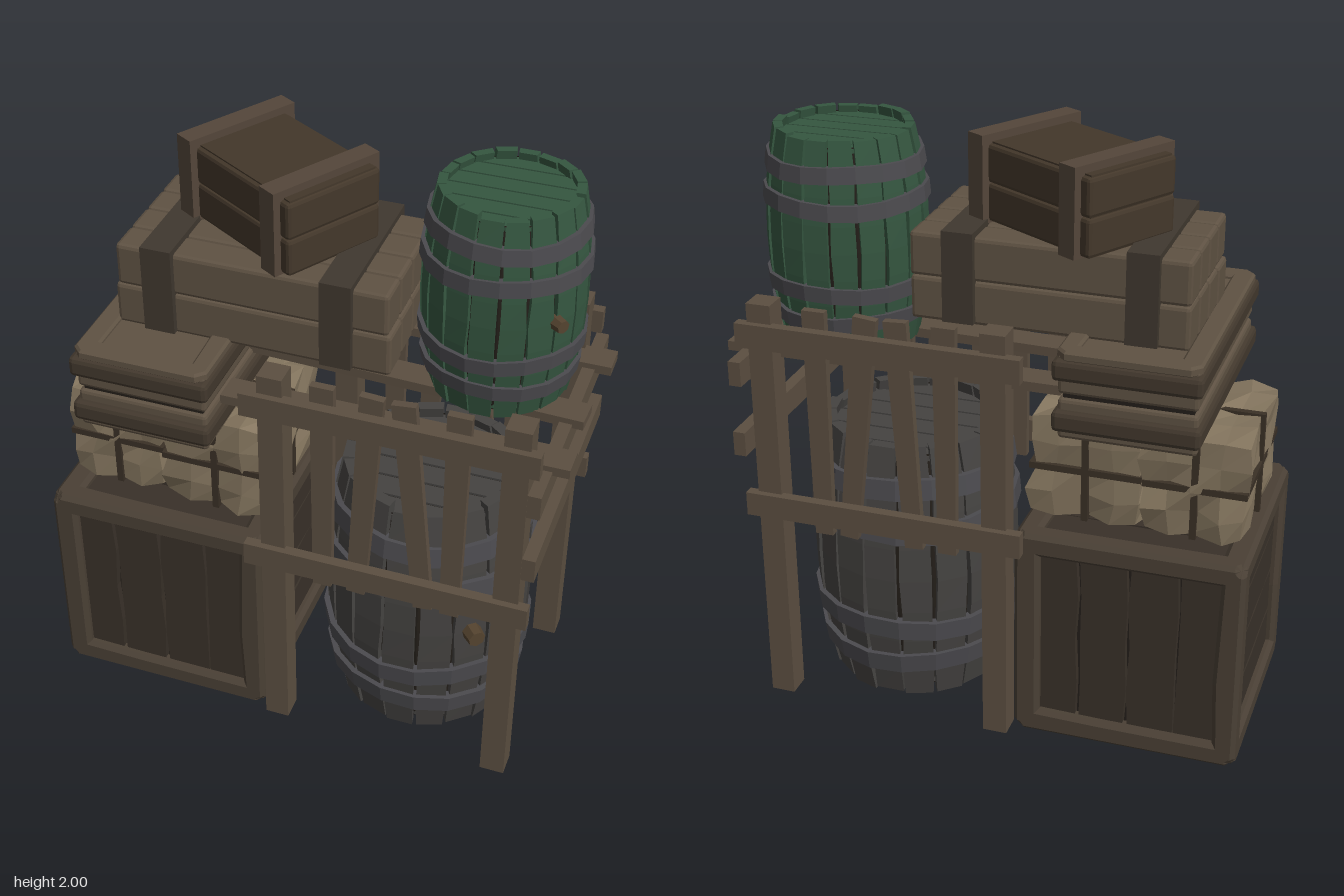
import * as THREE from 'three';
import { RoundedBoxGeometry } from 'three/addons/geometries/RoundedBoxGeometry.js';

const mat = (color) => new THREE.MeshStandardMaterial({ color, flatShading: true, side: THREE.DoubleSide });
const M = {
  frame: mat(0x5c4f41), dark: mat(0x231e19), crate: mat(0x393129), crateFrame: mat(0x4a4035),
  sack: mat(0x85765f), tie: mat(0x3a3026), box: mat(0x5f5243), strap: mat(0x40382f), rim: mat(0x42382d),
  small: mat(0x43372a), smallStrap: mat(0x54463a), grey: mat(0x454341), iron: mat(0x4b4a4e),
  green: mat(0x355640), bung: mat(0x54432f),
};

// Repeatable noise in -1..1 from a position
const noise = (a, b = 0, c = 0) => {
  const s = Math.sin(a * 127.1 + b * 311.7 + c * 74.7 + 1.3) * 43758.5453;
  return (s - Math.floor(s)) * 2 - 1;
};

function add(parent, name, geometry, material, x = 0, y = 0, z = 0) {
  const mesh = new THREE.Mesh(geometry, material);
  mesh.name = name;
  mesh.position.set(x, y, z);
  parent.add(mesh);
  return mesh;
}

function group(parent, name, x = 0, y = 0, z = 0) {
  const g = new THREE.Group();
  g.name = name;
  g.position.set(x, y, z);
  parent.add(g);
  return g;
}

// Box given by its minimum and maximum corners, with an optional chamfer
function board(parent, name, material, [x0, y0, z0], [x1, y1, z1], chamfer = 0) {
  const s = [x1 - x0, y1 - y0, z1 - z0];
  const geo = chamfer ? new RoundedBoxGeometry(...s, 1, chamfer) : new THREE.BoxGeometry(...s);
  return add(parent, name, geo, material, (x0 + x1) / 2, (y0 + y1) / 2, (z0 + z1) / 2);
}

function moveVertices(geo, rule) {
  const p = geo.attributes.position, v = new THREE.Vector3();
  for (let i = 0; i < p.count; i++) {
    rule(v.fromBufferAttribute(p, i));
    p.setXYZ(i, v.x, v.y, v.z);
  }
  geo.computeVertexNormals();
  return geo;
}

// Rectangle ring with cut corners, extruded along z
function ring(w, h, border, depth, bevel) {
  const a = w / 2 - bevel, b = h / 2 - bevel, c = 0.025;
  const shape = new THREE.Shape([[-a + c, -b], [a - c, -b], [a, -b + c], [a, b - c], [a - c, b], [-a + c, b], [-a, b - c], [-a, -b + c]]
    .map((q) => new THREE.Vector2(...q)));
  const e = w / 2 - border, f = h / 2 - border;
  shape.holes.push(new THREE.Path([[-e, -f], [-e, 0.3 * f], [-e, f], [0.2 * e, f], [e, f], [e, -0.2 * f], [e, -f], [-0.3 * e, -f]]
    .map(([x, y], i) => new THREE.Vector2(x + 0.006 * noise(i, 1), y + 0.006 * noise(i, 2)))));
  return new THREE.ExtrudeGeometry(shape, { depth, bevelThickness: bevel, bevelSize: bevel, bevelSegments: 1 });
}

// Large crate: six framed faces with sunken planks
function bigCrate(parent) {
  const g = group(parent, 'bigCrate', -0.495, 0.385, 0.01), S = 0.76, h = S / 2;
  add(g, 'crateCore', new THREE.BoxGeometry(S - 0.11, S - 0.11, S - 0.11), M.dark);
  const turns = [[0, 0, 0], [0, Math.PI, 0], [0, Math.PI / 2, 1], [0, -Math.PI / 2, 1], [Math.PI / 2, 0, 1], [-Math.PI / 2, 0, 1]];
  turns.forEach(([rx, ry, across]) => {
    const face = group(g, 'crateFace');
    face.rotation.set(rx, ry, 0);
    add(face, 'faceFrame', ring(S, S, 0.068, 0.03, 0.015), M.crateFrame, 0, 0, h - 0.045);
    const planks = group(face, 'planks');
    planks.rotation.z = across * Math.PI / 2;
    for (let i = 0; i < 4; i++) {
      const geo = moveVertices(new THREE.BoxGeometry(0.157, 0.66, 0.03, 1, 4, 1), (v) => { v.x += 0.007 * noise(v.x, v.y, i); });
      add(planks, 'plank', geo, M.crate, -0.249 + i * 0.166, 0, h - 0.043);
    }
  });
}

// Soft bundle pinched where the ties run round it
function sack(parent, x, z, w, h, d, seed) {
  const g = group(parent, 'sack', x, 0.77 + h / 2, z);
  const geo = moveVertices(new THREE.BoxGeometry(w, h, d, 4, 4, 4), (v) => {
    const u = [v.x / w * 2, v.y / h * 2, v.z / d * 2].map(Math.abs);
    const pinched = u.some((k) => k < 0.01);
    const edge = u.filter((k) => k > 0.99).length;
    const s = (pinched ? 0.93 : 1) - (edge === 3 ? 0.1 : edge === 2 ? 0.03 : 0);
    const n = 0.014, { x: a, y: b, z: c } = v;
    v.set(a * s + n * noise(a + seed, b, c), b * s, c * s + n * noise(c + seed, a, b));
    v.y += b < -h * 0.49 ? 0 : n * 0.7 * noise(b + seed, c, a);
  });
  add(g, 'sackCloth', geo, M.sack);
  const t = 0.022, k = 0.965;
  add(g, 'tie', new THREE.BoxGeometry(w * k, t, d * k), M.tie);
  add(g, 'tie', new THREE.BoxGeometry(t, h * k, d * k), M.tie);
  add(g, 'tie', new THREE.BoxGeometry(w * k, h * k, t), M.tie);
}

// Stacked layers of chamfered planks running along x
function plankStack(parent, L, layers, rows, D, layerH, y, material) {
  for (let j = 0; j < layers; j++) for (let i = 0; i < rows; i++) {
    const len = L / 2 - 0.006 * (1 + noise(i, j)), z = -D / 2 + i * D / rows;
    board(parent, 'plank', material, [-len, y + j * layerH, z], [len, y + (j + 1) * layerH, z + D / rows], 0.013);
  }
}

// Barrel of bulging staves, sunken heads, iron bands and a bung
function barrel(parent, name, material, x, y, z, scale, bungAngle) {
  const g = group(parent, name, x, y, z), H = 0.975, N = 18, step = Math.PI * 2 / N;
  g.scale.setScalar(scale);
  const R = (t) => 0.302 + 0.052 * (1 - (2 * t - 1) ** 2);
  for (let i = 0; i < N; i++) {
    const geo = moveVertices(new THREE.BoxGeometry(1, 1, 1, 1, 8, 1), (v) => {
      const t = v.y + 0.5, a = step * (i + v.x * (0.88 + 0.09 * noise(i, Math.round(t * 8), v.x)));
      const r = R(t) + (v.z - 0.5) * 0.04 + 0.004 * noise(i);
      const end = t === 0 ? 0.008 * (1 + noise(i, 5)) : t === 1 ? -0.008 * (1 + noise(i, 7)) : 0;
      v.set(r * Math.sin(a), t * H + end, r * Math.cos(a));
    });
    add(g, 'stave', geo, material);
  }
  const core = [];
  for (let i = 0; i <= 8; i++) {
    const t = 0.04 + 0.92 * i / 8;
    core.push(new THREE.Vector2(R(t) - 0.024, t * H));
  }
  add(g, 'staveGaps', new THREE.LatheGeometry(core, N, step / 2), M.dark);

  // Heads: strips cut to the circle
  const r = 0.29, rows = 6;
  for (const hy of [0.045, H - 0.07]) {
    add(g, 'headBacking', new THREE.CylinderGeometry(r, r, 0.01, N), M.dark, 0, hy + 0.0125, 0);
    for (let i = 0; i < rows; i++) {
      const w = 2 * r / rows, a0 = Math.asin(Math.max(-1, (-r + i * w + 0.005) / r)), a1 = Math.asin((-r + (i + 1) * w - 0.005) / r);
      const strip = new THREE.Shape();
      strip.absarc(0, 0, r, a0, a1);
      strip.absarc(0, 0, r, Math.PI - a1, Math.PI - a0);
      const geo = new THREE.ExtrudeGeometry(strip, { depth: 0.025, bevelEnabled: false, curveSegments: 4 });
      add(g, 'headPlank', geo.rotateX(-Math.PI / 2), material, 0, hy, 0);
    }
  }
  for (const y0 of [0.12, 0.26, 0.64, 0.79]) {
    const y1 = y0 + 0.07, p = [[-0.02, y0], [0.017, y0], [0.017, y1], [-0.02, y1], [-0.02, y0]];
    const geo = new THREE.LatheGeometry(p.map(([o, b]) => new THREE.Vector2(R(b / H) + o, b)), N, step / 2);
    add(g, 'band', moveVertices(geo, (v) => { v.y += 0.007 * Math.sin(3 * Math.atan2(v.x, v.z) + y0 * 20); }), M.iron);
  }
  const bung = add(g, 'bung', new THREE.CylinderGeometry(0.03, 0.036, 0.07, 7).rotateX(Math.PI / 2), M.bung,
    0.36 * Math.sin(bungAngle), 0.49, 0.36 * Math.cos(bungAngle));
  bung.rotation.y = bungAngle;
}

// Rack: posts, two fences, side rails and loose top boards
function rack(parent) {
  const g = group(parent, 'rack');
  for (const s of [1, -1]) {
    for (const x of [-0.06, 0.723]) add(g, 'post', new THREE.BoxGeometry(0.083, 1.46, 0.083), M.frame, x, 0.73, s * 0.361);
    for (const y of [0.745, 1.355]) add(g, 'fenceRail', new THREE.BoxGeometry(0.955, 0.083, 0.036), M.frame, 0.3225, y, s * 0.407);
    // Slats as [bottom x, top x]
    for (const [b, t] of [[0.105, 0.105], [0.22, 0.265], [0.45, 0.365], [0.538, 0.54]]) {
      const slat = add(g, 'slat', moveVertices(new THREE.BoxGeometry(0.074, 0.8, 0.028),
        (v) => { v.x *= v.y > 0 ? 1.05 : 0.85; }), M.frame, (b + t) / 2, 1.055, s * 0.376);
      slat.rotation.z = Math.atan2(b - t, 0.8);
    }
  }
  for (const y of [0.98, 1.23]) board(g, 'sideRail', M.frame, [0.775, y - 0.042, -0.452], [0.817, y + 0.042, 0.452]);
  for (const [z, turn] of [[0.27, 0], [-0.29, 0], [0.0, -0.04]]) {
    add(g, 'topBoard', new THREE.BoxGeometry(1.13, 0.032, 0.1), M.frame, z === 0 ? 0.29 : 0.305, 1.275, z).rotation.y = turn;
  }
}

// Wide shallow crate with rims and a sunken lid
function shallowCrate(parent) {
  const g = group(parent, 'shallowCrate', -0.485, 0, 0.015);
  for (const y of [1.14, 1.29]) board(g, 'crateSide', M.box, [-0.22, y, -0.41], [0.22, y + 0.135, 0.41], 0.012);
  board(g, 'crateSeam', M.dark, [-0.205, 1.15, -0.395], [0.205, 1.415, 0.395]);
  for (const y of [1.17, 1.34]) board(g, 'rim', M.rim, [-0.235, y, -0.435], [0.235, y + 0.07, 0.435], 0.016);
  add(g, 'lidFrame', ring(0.45, 0.85, 0.06, 0.02, 0.008).rotateX(-Math.PI / 2), M.box, 0, 1.412, 0);
  for (let i = 0; i < 4; i++) board(g, 'lidPlank', M.box, [-0.168 + i * 0.085, 1.4, -0.375], [-0.089 + i * 0.085, 1.425, 0.375]);
}

export function createModel() {
  const model = new THREE.Group();
  model.name = 'cargoPile';
  bigCrate(model);
  sack(model, -0.675, 0.0, 0.35, 0.365, 0.53, 0.3);
  sack(model, -0.315, 0.015, 0.385, 0.365, 0.54, 1.7);
  shallowCrate(model);
  rack(model);

  // Long box held by two broad straps
  const long = group(model, 'longBox', -0.19, 0, -0.02);
  plankStack(long, 0.92, 2, 4, 0.48, 0.145, 1.42, M.box);
  for (const x of [-0.303, 0.285]) board(long, 'strap', M.strap, [x - 0.051, 1.43, -0.262], [x + 0.051, 1.73, 0.262]);

  // Small crate set askew on top
  const small = group(model, 'smallCrate', -0.2, 0, -0.063);
  small.rotation.y = -0.54;
  plankStack(small, 0.58, 2, 1, 0.36, 0.125, 1.72, M.small);
  board(small, 'smallLid', M.small, [-0.27, 1.72, -0.165], [0.27, 1.975, 0.165]);
  for (const x of [-0.208, 0.208]) board(small, 'smallStrap', M.smallStrap, [x - 0.034, 1.715, -0.205], [x + 0.034, 2, 0.205]);

  barrel(model, 'greyBarrel', M.grey, 0.36, 0, 0, 1, 0.71);
  barrel(model, 'greenBarrel', M.green, 0.535, 1.275, -0.09, 0.735, 0.91);
  return model;
}
